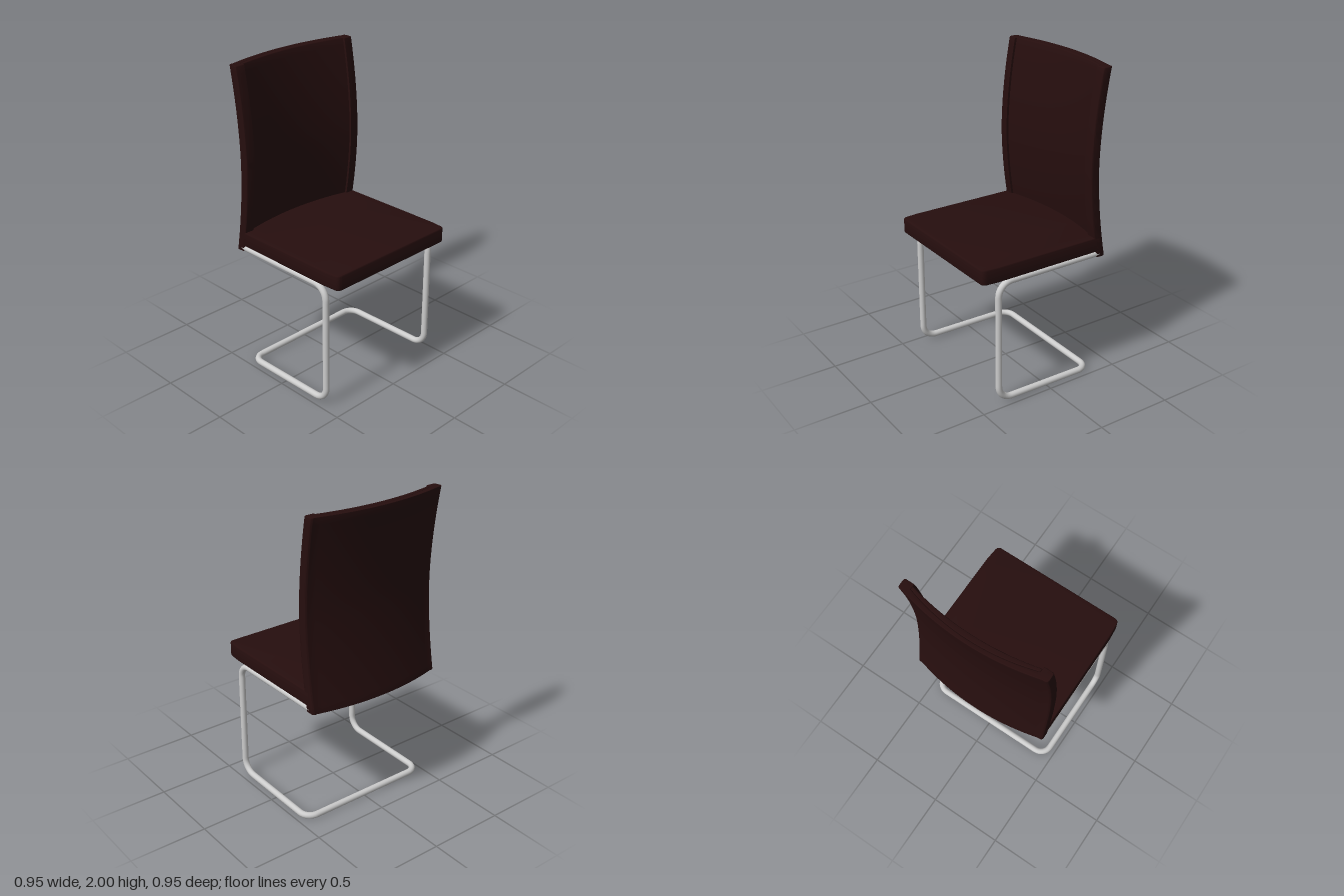
import * as THREE from 'three';
import { toCreasedNormals } from 'three/addons/utils/BufferGeometryUtils.js';

const leather = new THREE.MeshStandardMaterial({ color: 0x260e0e });
leather.name = 'dark brown leather';
const steel = new THREE.MeshStandardMaterial({ color: 0xcccccc });
steel.name = 'brushed steel';

const HALF = 0.474;       // half width of seat and back
const BACK_BOTTOM = 0.806;
const BACK_TOP = 2.0;

// Samples z = f(x) from x0 to x1 as plan points (shape y is -z)
function planCurve(x0, x1, f, n = 20) {
  return Array.from({ length: n + 1 }, (_, i) => {
    const x = x0 + (x1 - x0) * i / n;
    return new THREE.Vector2(x, -f(x));
  });
}

// Extrudes a plan shape upward from y0 to y1 with softened rims
function extrudeUp(shape, y0, y1, bevel, steps) {
  const geo = new THREE.ExtrudeGeometry(shape, {
    depth: y1 - y0 - 2 * bevel, steps, curveSegments: 8,
    bevelEnabled: true, bevelSize: bevel, bevelThickness: bevel, bevelOffset: -bevel, bevelSegments: 3,
  });
  geo.rotateX(-Math.PI / 2);
  geo.translate(0, y0 + bevel, 0);
  return geo;
}

// Bows the backrest so its middle height comes forward
function bow(geo) {
  const p = geo.attributes.position;
  const mid = (BACK_TOP + BACK_BOTTOM) / 2, half = (BACK_TOP - BACK_BOTTOM) / 2;
  for (let i = 0; i < p.count; i++) {
    const t = Math.abs(p.getY(i) - mid) / half;
    p.setZ(i, p.getZ(i) - 0.065 * Math.pow(t, 1.8));
  }
  return geo;
}

function addMesh(group, name, geo, material) {
  const mesh = new THREE.Mesh(geo, material);
  mesh.name = name;
  group.add(mesh);
}

// Path through corner points, each corner rounded by its radius
function roundedPath(points) {
  const path = new THREE.CurvePath();
  let from = points[0].p;
  for (let i = 1; i < points.length - 1; i++) {
    const { p, r } = points[i];
    const a = points[i - 1].p.clone().sub(p).setLength(r).add(p);
    const b = points[i + 1].p.clone().sub(p).setLength(r).add(p);
    path.add(new THREE.LineCurve3(from, a));
    const pull = 0.56;
    path.add(new THREE.CubicBezierCurve3(a, a.clone().lerp(p, pull), b.clone().lerp(p, pull), b));
    from = b;
  }
  path.add(new THREE.LineCurve3(from, points[points.length - 1].p));
  return path;
}

export function createModel() {
  const chair = new THREE.Group();
  chair.name = 'cantileverChair';

  // Back shell: curved panel with a flange down each side
  const rear = (x) => -0.413 + Math.min(0.06 * (x / 0.45) ** 2, 0.058);
  const seam = (x) => -0.388 + 0.064 * (x / 0.41) ** 2;
  const shell = new THREE.Shape();
  shell.moveTo(-HALF, 0.345);
  shell.lineTo(-HALF, 0.302);
  shell.quadraticCurveTo(-HALF, 0.29, -HALF + 0.012, 0.29);
  shell.lineTo(-0.41, 0.29);
  planCurve(-0.41, 0.41, seam).forEach((v) => shell.lineTo(v.x, v.y));
  shell.lineTo(0.41, 0.29);
  shell.lineTo(HALF - 0.012, 0.29);
  shell.quadraticCurveTo(HALF, 0.29, HALF, 0.302);
  shell.lineTo(HALF, 0.335);
  shell.quadraticCurveTo(HALF, 0.355, HALF - 0.02, -rear(HALF - 0.02));
  planCurve(HALF - 0.03, -HALF + 0.03, rear, 28).forEach((v) => shell.lineTo(v.x, v.y));
  shell.lineTo(-HALF + 0.02, -rear(HALF - 0.02));
  shell.quadraticCurveTo(-HALF, 0.355, -HALF, 0.335);
  addMesh(chair, 'backShell',
    toCreasedNormals(bow(extrudeUp(shell, BACK_BOTTOM, BACK_TOP, 0.004, 28)), 0.6), leather);

  // Front pad set between the flanges
  const face = (x) => -0.354 + 0.05 * (x / 0.41) ** 2;
  const pad = new THREE.Shape([
    ...planCurve(-0.409, 0.409, (x) => seam(x) + 0.0005),
    ...planCurve(0.409, -0.409, face),
  ]);
  addMesh(chair, 'backPad',
    toCreasedNormals(bow(extrudeUp(pad, BACK_BOTTOM, BACK_TOP, 0.004, 28)), 0.6), leather);

  // Seat cushion: rounded front corners, rear edge tucked into the back
  const seat = new THREE.Shape();
  const front = -0.477, c = 0.04;
  seat.moveTo(-HALF + c, front);
  seat.lineTo(HALF - c, front);
  seat.quadraticCurveTo(HALF - 0.006, front, HALF - 0.006, front + c);
  seat.lineTo(HALF, front + 0.11);
  planCurve(HALF, -HALF, (x) => -0.42 + 0.05 * (x / HALF) ** 2).forEach((v) => seat.lineTo(v.x, v.y));
  seat.lineTo(-HALF, front + 0.11);
  seat.lineTo(-HALF + 0.006, front + c);
  seat.quadraticCurveTo(-HALF + 0.006, front, -HALF + c, front);
  addMesh(chair, 'seat', toCreasedNormals(extrudeUp(seat, 0.845, 0.942, 0.008, 1), 0.6), leather);

  // One continuous bent tube: seat rails, front legs and floor loop
  const corner = (x, y, z, r = 0) => ({ p: new THREE.Vector3(x, y, z), r });
  const side = (s) => [
    corner(s * 0.454, 0.825, -0.375),
    corner(s * 0.454, 0.825, 0.36, 0.09),
    corner(s * 0.454, 0.034, 0.36, 0.09),
    corner(s * 0.454, 0.025, -0.325, 0.075),
  ];
  const path = roundedPath([...side(1), ...side(-1).reverse()]);
  addMesh(chair, 'tubeFrame', new THREE.TubeGeometry(path, 320, 0.0205, 16, false), steel);

  return chair;
}
